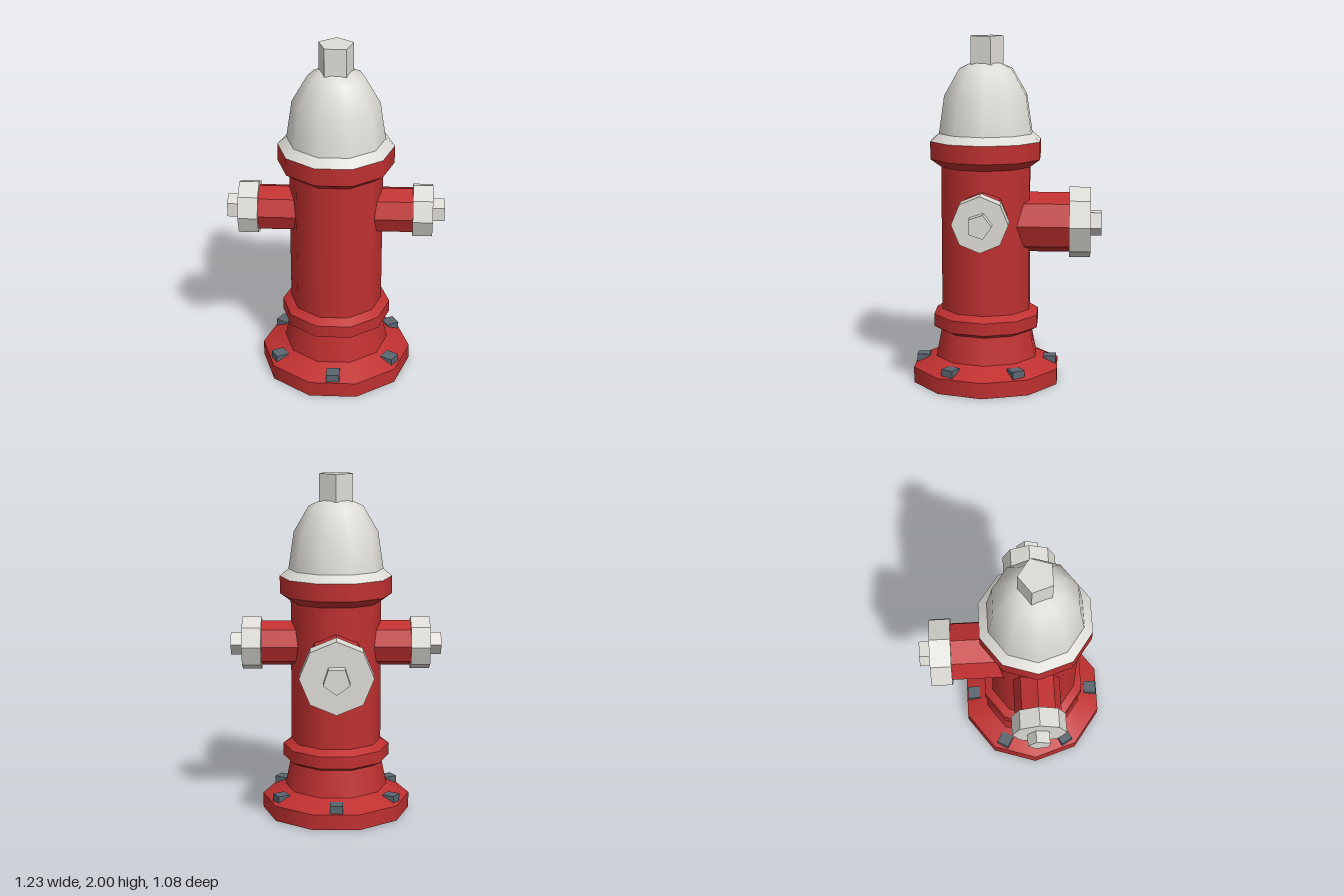
import * as THREE from 'three';

const red = new THREE.MeshStandardMaterial({ color: 0xc03030 });
red.name = 'red paint';
const white = new THREE.MeshStandardMaterial({ color: 0xdedcd6 });
white.name = 'off-white paint';
const steel = new THREE.MeshStandardMaterial({ color: 0x5a6670 });
steel.name = 'bolt steel';

function addMesh(parent, name, geometry, material) {
  const mesh = new THREE.Mesh(geometry, material);
  mesh.name = name;
  parent.add(mesh);
  return mesh;
}

// Smooth ten-sided band between two heights, creased at its rims
function band(parent, name, [r0, y0], [r1, y1], material) {
  const g = new THREE.CylinderGeometry(r1, r0, y1 - y0, 10, 1, true, Math.PI / 2);
  g.translate(0, (y0 + y1) / 2, 0);
  addMesh(parent, name, g, material);
}

// Flat-sided prism standing on y0
function prism(parent, name, r, sides, y0, y1, material) {
  const g = new THREE.CylinderGeometry(r, r, y1 - y0, sides, 1, false, Math.PI).toNonIndexed();
  g.computeVertexNormals();
  g.translate(0, (y0 + y1) / 2, 0);
  addMesh(parent, name, g, material);
}

// Outlet along local +y: pipe, octagonal cap and pentagonal nut
function outlet(name, pipeR, capR, nutR, pipeEnd, capEnd, nutEnd) {
  const group = new THREE.Group();
  group.name = name;
  prism(group, 'outletPipe', pipeR, 8, 0.1, pipeEnd, red);
  prism(group, 'outletCap', capR, 8, pipeEnd, capEnd, white);
  prism(group, 'outletNut', nutR, 5, capEnd, nutEnd, white);
  return group;
}

export function createModel() {
  const model = new THREE.Group();
  model.name = 'fireHydrant';

  // Barrel and everything around its axis
  const body = new THREE.Group();
  body.name = 'body';
  body.position.z = 0.125;
  model.add(body);

  const profile = [
    [0.436, 0], [0.436, 0.09], [0.302, 0.15], [0.27, 0.305], [0.313, 0.328],
    [0.313, 0.4], [0.264, 0.43], [0.264, 1.26], [0.327, 1.305], [0.327, 1.407],
  ];
  const names = ['baseRim', 'baseSlope', 'foot', 'lowerCollarUnderside', 'lowerCollar',
    'lowerCollarTop', 'barrel', 'upperCollarUnderside', 'upperCollar'];
  names.forEach((name, i) => band(body, name, profile[i], profile[i + 1], red));
  const bottom = new THREE.CircleGeometry(0.436, 10);
  bottom.rotateX(Math.PI / 2);
  addMesh(body, 'baseBottom', bottom, red);

  // Bonnet
  band(body, 'bonnetRim', [0.327, 1.407], [0.276, 1.45], white);
  const dome = [[0.276, 1.45], [0.244, 1.665], [0.158, 1.813], [0.08, 1.85], [0, 1.85]]
    .map(([r, y]) => new THREE.Vector2(r, y));
  addMesh(body, 'bonnet', new THREE.LatheGeometry(dome, 10, Math.PI / 2), white);
  prism(body, 'topNut', 0.101, 5, 1.84, 2, white);

  // Six bolts around the base flange
  for (let i = 0; i < 6; i++) {
    const a = i * Math.PI / 3;
    const bolt = addMesh(body, 'baseBolt', new THREE.BoxGeometry(0.075, 0.06, 0.075), steel);
    bolt.position.set(Math.sin(a) * 0.37, 0.109, Math.cos(a) * 0.37);
    bolt.rotation.y = a;
  }

  // Two side outlets
  for (const side of [1, -1]) {
    const o = outlet(side > 0 ? 'leftOutlet' : 'rightOutlet', 0.133, 0.155, 0.069, 0.435, 0.547, 0.615);
    o.rotation.z = -side * Math.PI / 2;
    o.position.y = 1.01;
    body.add(o);
  }

  // Large back outlet
  const back = outlet('backOutlet', 0.175, 0.206, 0.078, 0.48, 0.602, 0.666);
  back.rotation.x = -Math.PI / 2;
  back.position.y = 0.932;
  body.add(back);

  return model;
}
